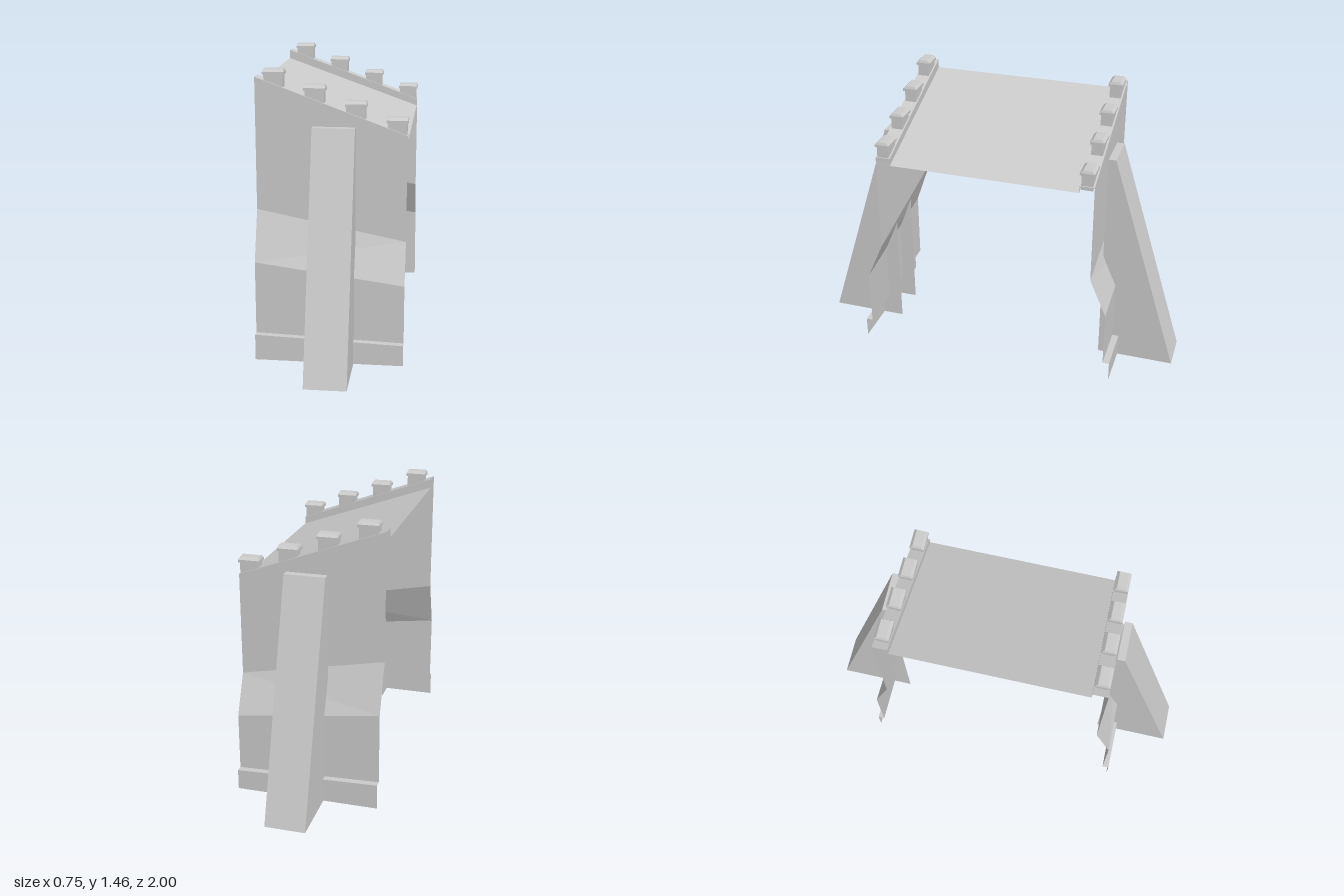
import * as THREE from 'three';

const X0 = -0.375, X1 = 0.37;
const slope = x => 1 - 0.287 * x; // heights shrink towards +x

// Flat-shaded open sheet from four-cornered faces (counter-clockwise from outside)
function sheet(name, quads, flip) {
  const pos = [];
  for (const [a, b, c, d] of quads) {
    const order = flip ? [a, c, b, a, d, c] : [a, b, c, a, c, d];
    for (const p of order) pos.push(...p);
  }
  const geo = new THREE.BufferGeometry();
  geo.setAttribute('position', new THREE.Float32BufferAttribute(pos, 3));
  geo.computeVertexNormals();
  const mesh = new THREE.Mesh(geo, new THREE.MeshStandardMaterial({
    color: 0xcccccc, side: THREE.DoubleSide, flatShading: true,
  }));
  mesh.name = name;
  return mesh;
}

// Sweep a [z, y] profile along x, with heights following the slope
function sweep(name, profile, s) {
  const quads = [];
  for (let i = 0; i < profile.length - 1; i++) {
    const at = (x, [z, y]) => [x, y * slope(x), z * s];
    const p = profile[i], q = profile[i + 1];
    quads.push([at(X0, p), at(X1, p), at(X1, q), at(X0, q)]);
  }
  return sheet(name, quads, s < 0);
}

// Leaning support with open back and bottom
function buttress(s) {
  const l = -0.09, r = 0.12;
  const prof = [[1, 0], [0.63, 1.19], [0.59, 1.19], [0.59, 0]];
  const at = (x, i) => [x, prof[i][1], prof[i][0] * s];
  const quads = [
    [at(l, 0), at(r, 0), at(r, 1), at(l, 1)],
    [at(l, 1), at(r, 1), at(r, 2), at(l, 2)],
    [at(r, 0), at(r, 3), at(r, 2), at(r, 1)],
    [at(l, 0), at(l, 1), at(l, 2), at(l, 3)],
  ];
  return sheet('buttress', quads, s < 0);
}

// Box whose top is pulled in to form a frustum
function taperedBox(w, h, d, topW, topD) {
  const geo = new THREE.BoxGeometry(w, h, d);
  const p = geo.attributes.position;
  for (let i = 0; i < p.count; i++) {
    if (p.getY(i) > 0) {
      p.setX(i, p.getX(i) * topW / w);
      p.setZ(i, p.getZ(i) * topD / d);
    }
  }
  geo.computeVertexNormals();
  return geo;
}

function merlon() {
  const g = new THREE.Group();
  g.name = 'merlon';
  const mat = new THREE.MeshStandardMaterial({ color: 0xcccccc, flatShading: true });
  const add = (name, geo, y) => {
    const m = new THREE.Mesh(geo, mat);
    m.name = name;
    m.position.y = y;
    g.add(m);
  };
  // Heights are measured down from the top of the cap
  add('merlonBody', new THREE.BoxGeometry(0.094, 0.08, 0.06), -0.067);
  add('merlonCapSlab', new THREE.BoxGeometry(0.106, 0.014, 0.076), -0.02);
  add('merlonCapTop', taperedBox(0.106, 0.013, 0.076, 0.096, 0.046), -0.0065);
  return g;
}

export function createModel() {
  const model = new THREE.Group();
  model.name = 'slopedWallSection';

  // Wall: plinth, ledge, lower face, sloping batter, upper face, parapet top and inner face
  const wallProfile = [
    [0.70, 0.006], [0.70, 0.126], [0.665, 0.126], [0.665, 0.462],
    [0.577, 0.689], [0.577, 1.287], [0.50, 1.287], [0.50, 1.244],
  ];

  for (const s of [1, -1]) {
    const side = new THREE.Group();
    side.name = s > 0 ? 'frontSide' : 'backSide';
    side.add(sweep('wall', wallProfile, s), buttress(s));
    for (let i = 0; i < 4; i++) {
      const m = merlon();
      m.position.set(-0.285 + i * 0.2015, 1.463 - i * 0.0755, 0.538 * s);
      side.add(m);
    }
    model.add(side);
  }

  // Sloping walkway between the parapets
  model.add(sweep('walkway', [[0.50, 1.244], [-0.50, 1.244]], 1));
  return model;
}
